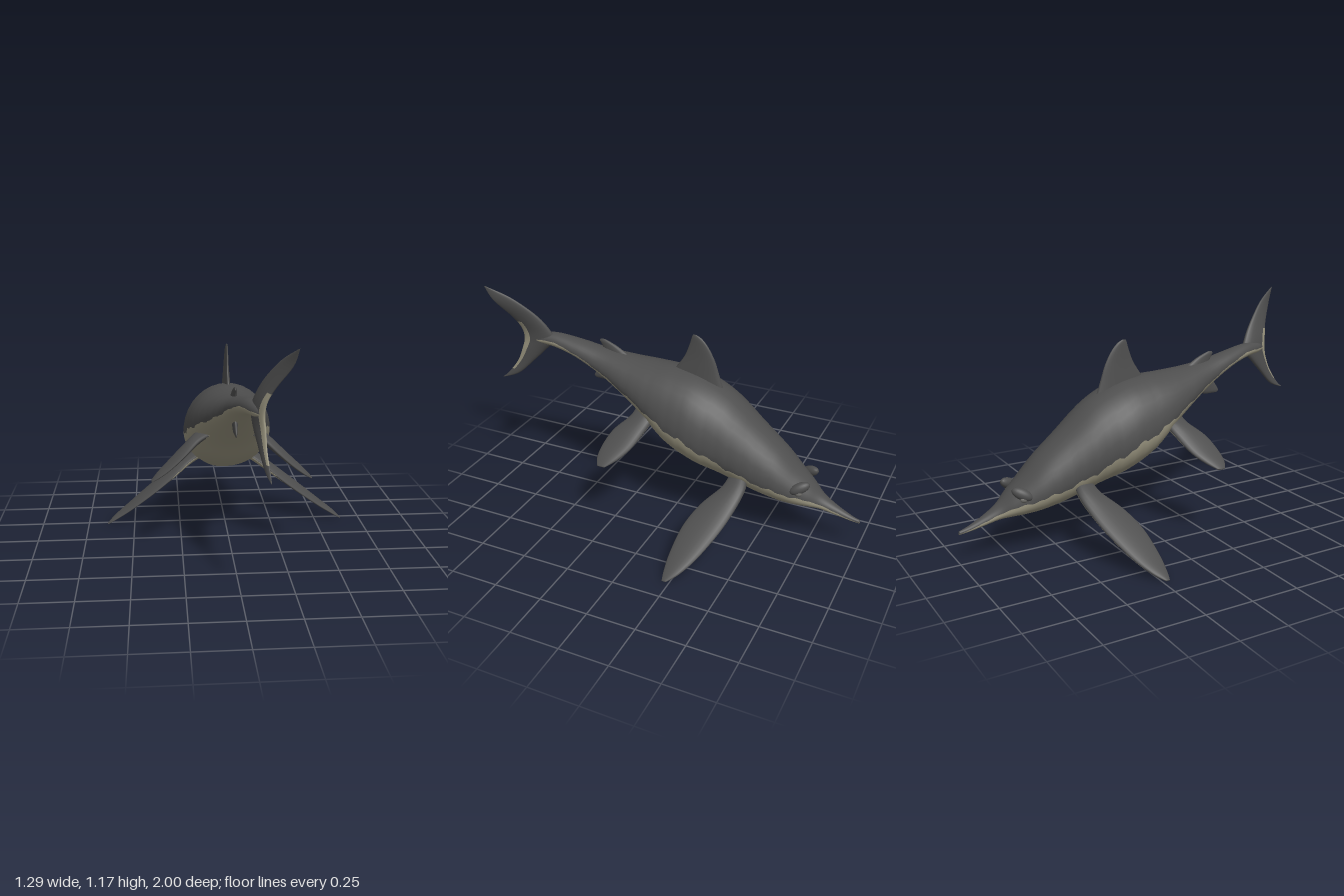
import * as THREE from 'three';

const dark = new THREE.MeshStandardMaterial({ color: 0x4e4e4e });
dark.name = 'slate grey skin';
const pale = new THREE.MeshStandardMaterial({ color: 0x99947f });
pale.name = 'pale underside';
const eyeGrey = new THREE.MeshStandardMaterial({ color: 0x6e6d69 });
eyeGrey.name = 'eye grey';

// Smoothly resample rows of numbers (uniform Catmull-Rom on every column)
function smooth(rows, steps) {
  const out = [];
  const last = rows.length - 1;
  for (let s = 0; s <= last * steps; s++) {
    const i = Math.min(Math.floor(s / steps), last - 1);
    const t = s / steps - i;
    const a = rows[Math.max(i - 1, 0)], b = rows[i], c = rows[i + 1], d = rows[Math.min(i + 2, last)];
    out.push(b.map((_, k) => 0.5 * (2 * b[k] + (c[k] - a[k]) * t
      + (2 * a[k] - 5 * b[k] + 4 * c[k] - d[k]) * t * t
      + (3 * b[k] - a[k] - 3 * c[k] + d[k]) * t * t * t)));
  }
  return out;
}

// Skin a list of closed rings; isPale(ring, segment) picks the colour group
function loft(name, rings, isPale) {
  const n = rings[0].length;
  const collapse = (ring) => {
    const c = ring.reduce((s, p) => s.add(p), new THREE.Vector3()).divideScalar(n);
    return ring.map(() => c);
  };
  const all = [collapse(rings[0]), ...rings, collapse(rings[rings.length - 1])];
  const faces = [[], []];
  for (let i = 0; i < all.length - 1; i++) {
    for (let j = 0; j < n; j++) {
      const k = (j + 1) % n;
      const a = i * n + j, b = i * n + k, c = a + n, d = b + n;
      faces[isPale(i, j) ? 1 : 0].push(a, b, c, b, d, c);
    }
  }
  const geo = new THREE.BufferGeometry().setFromPoints(all.flat());
  geo.setIndex([...faces[0], ...faces[1]]);
  geo.addGroup(0, faces[0].length, 0);
  geo.addGroup(faces[0].length, faces[1].length, 1);
  geo.computeVertexNormals();
  const mesh = new THREE.Mesh(geo, [dark, pale]);
  mesh.name = name;
  return mesh;
}

// Fin from rows [leading xyz, trailing xyz, half thickness], thickened along axis
function fin(name, rows, axis, isPale = () => false) {
  const N = 20;
  const data = smooth(rows, 5).map((r) => {
    const lead = new THREE.Vector3(r[0], r[1], r[2]);
    const trail = new THREE.Vector3(r[3], r[4], r[5]);
    return { mid: lead.clone().add(trail).multiplyScalar(0.5), u: lead.sub(trail).multiplyScalar(0.5), t: Math.max(r[6], 0.002) };
  });
  const along = data[data.length - 1].mid.clone().sub(data[0].mid);
  const v = axis.clone().normalize();
  const m = data[Math.floor(data.length / 2)];
  const flip = m.u.clone().cross(v).dot(along) < 0 ? -1 : 1;
  const rings = data.map(({ mid, u, t }) => Array.from({ length: N }, (_, j) => {
    const a = (j / N) * Math.PI * 2;
    return mid.clone().addScaledVector(u, Math.cos(a))
      .addScaledVector(v, Math.sin(a) * flip * t * (0.85 + 0.25 * Math.cos(a)));
  }));
  return loft(name, rings, (i, j) => {
    const a = ((j + 0.5) / N) * Math.PI * 2;
    return isPale(i / rings.length, Math.cos(a), Math.sin(a) * flip);
  });
}

// Body with a ragged colour line between back and belly
function makeBody() {
  // z, top, bottom, half width, centre x, height of colour line
  const rows = smooth([
    [-1, 0.182, 0.165, 0.008, 0, 0.17],
    [-0.95, 0.2, 0.172, 0.016, 0, 0.185],
    [-0.87, 0.24, 0.19, 0.03, 0, 0.215],
    [-0.8, 0.285, 0.207, 0.05, 0, 0.25],
    [-0.74, 0.345, 0.213, 0.085, 0, 0.275],
    [-0.67, 0.41, 0.216, 0.118, 0, 0.3],
    [-0.58, 0.5, 0.225, 0.147, 0, 0.325],
    [-0.45, 0.61, 0.255, 0.172, 0, 0.37],
    [-0.3, 0.735, 0.305, 0.2, 0, 0.44],
    [-0.15, 0.805, 0.35, 0.227, 0, 0.525],
    [0, 0.83, 0.425, 0.215, 0, 0.59],
    [0.12, 0.835, 0.535, 0.185, 0, 0.645],
    [0.25, 0.842, 0.63, 0.14, 0.005, 0.7],
    [0.4, 0.86, 0.72, 0.09, 0.015, 0.768],
    [0.55, 0.89, 0.798, 0.065, 0.028, 0.835],
    [0.68, 0.912, 0.838, 0.045, 0.045, 0.875],
    [0.78, 0.905, 0.85, 0.028, 0.065, 0.875],
    [0.83, 0.885, 0.86, 0.01, 0.08, 0.873],
  ], 7);
  const half = 18;
  const rings = rows.map(([z, top, bottom, w, cx, line]) => {
    const cy = bottom + 0.43 * (top - bottom);
    const ragged = (top - bottom) * (0.02 * Math.sin(z * 41) + 0.015 * Math.sin(z * 97));
    const dy = line + ragged - cy;
    const a0 = Math.asin(THREE.MathUtils.clamp(dy / (dy > 0 ? top - cy : cy - bottom), -0.9, 0.9));
    return Array.from({ length: half * 2 }, (_, j) => {
      const a = j < half
        ? a0 + (Math.PI - 2 * a0) * (j / half)
        : Math.PI - a0 + (Math.PI + 2 * a0) * ((j - half) / half);
      const s = Math.sin(a);
      return new THREE.Vector3(cx + w * Math.cos(a), cy + s * (s > 0 ? top - cy : cy - bottom), z);
    });
  });
  return loft('body', rings, (i, j) => j >= half);
}

export function createModel() {
  const model = new THREE.Group();
  model.name = 'marineReptile';
  model.add(makeBody());

  // Upright fins on the midline: y, leading z, trailing z, half thickness
  const upright = (name, rows) => model.add(fin(name,
    rows.map(([y, l, t, h]) => [0, y, l, 0, y, t, h]), new THREE.Vector3(1, 0, 0)));
  upright('dorsalFin', [
    [0.74, -0.26, 0.06, 0.03], [0.82, -0.232, 0.012, 0.022], [0.9, -0.205, -0.04, 0.015],
    [0.965, -0.17, -0.066, 0.011], [1.005, -0.135, -0.078, 0.008], [1.022, -0.105, -0.085, 0.003],
  ]);
  upright('smallBackFin', [[0.83, 0.26, 0.41, 0.02], [0.875, 0.335, 0.43, 0.013], [0.895, 0.38, 0.442, 0.009], [0.906, 0.41, 0.435, 0.003]]);
  upright('smallBellyFin', [[0.77, 0.32, 0.43, 0.02], [0.72, 0.355, 0.465, 0.015], [0.69, 0.375, 0.483, 0.011], [0.677, 0.39, 0.475, 0.004]]);

  // Paired flippers: x, y, leading z, trailing z, half thickness
  const front = [
    [0.11, 0.365, -0.44, -0.35, 0.03], [0.19, 0.318, -0.455, -0.335, 0.03],
    [0.29, 0.25, -0.437, -0.26, 0.026], [0.4, 0.175, -0.4, -0.212, 0.022],
    [0.52, 0.092, -0.34, -0.198, 0.017], [0.6, 0.04, -0.285, -0.203, 0.012], [0.645, 0.01, -0.235, -0.212, 0.004],
  ];
  const hind = [
    [0.09, 0.62, 0.08, 0.18, 0.03], [0.16, 0.585, 0.065, 0.19, 0.03],
    [0.23, 0.53, 0.09, 0.25, 0.025], [0.3, 0.472, 0.125, 0.278, 0.02],
    [0.36, 0.427, 0.175, 0.28, 0.014], [0.398, 0.4, 0.22, 0.26, 0.004],
  ];
  for (const [side, label] of [[1, 'left'], [-1, 'right']]) {
    for (const [name, rows, reach] of [['FrontFlipper', front, 0.55], ['HindFlipper', hind, 0.3]]) {
      model.add(fin(label + name,
        rows.map(([x, y, l, t, h]) => [side * x, y, l, side * x, y, t, h]),
        new THREE.Vector3(side * 0.56, 0.83, 0),
        (s, chord, up) => up < -0.1 && s < reach + 0.2 * chord));
    }
    // Brow and eye
    const brow = new THREE.Mesh(new THREE.SphereGeometry(1, 20, 14), dark);
    brow.name = label + 'Brow';
    brow.scale.set(0.025, 0.028, 0.055);
    brow.position.set(side * 0.09, 0.345, -0.705);
    brow.rotation.set(0.5, side * 0.4, 0);
    const eye = new THREE.Mesh(new THREE.SphereGeometry(1, 16, 12), eyeGrey);
    eye.name = label + 'Eye';
    eye.scale.set(0.014, 0.017, 0.022);
    eye.position.set(side * 0.102, 0.322, -0.7);
    model.add(brow, eye);
  }

  // Crescent tail fin swept towards the left, with a pale trailing strip
  model.add(fin('tailFin', [
    [0.205, 1.175, 0.972, 0.21, 1.18, 0.985, 0.003],
    [0.155, 1.115, 0.865, 0.19, 1.1, 0.95, 0.01],
    [0.1, 1.02, 0.762, 0.13, 1.0, 0.885, 0.017],
    [0.07, 0.94, 0.705, 0.095, 0.93, 0.857, 0.024],
    [0.055, 0.875, 0.685, 0.085, 0.87, 0.85, 0.027],
    [0.055, 0.81, 0.74, 0.09, 0.81, 0.865, 0.022],
    [0.068, 0.735, 0.815, 0.092, 0.73, 0.9, 0.015],
    [0.085, 0.655, 0.9, 0.1, 0.65, 0.962, 0.01],
    [0.1, 0.62, 0.985, 0.102, 0.618, 1, 0.003],
  ], new THREE.Vector3(1, 0, -0.3), (s, chord) => s > 0.3 && s < 0.82 && chord < -0.55));

  return model;
}
